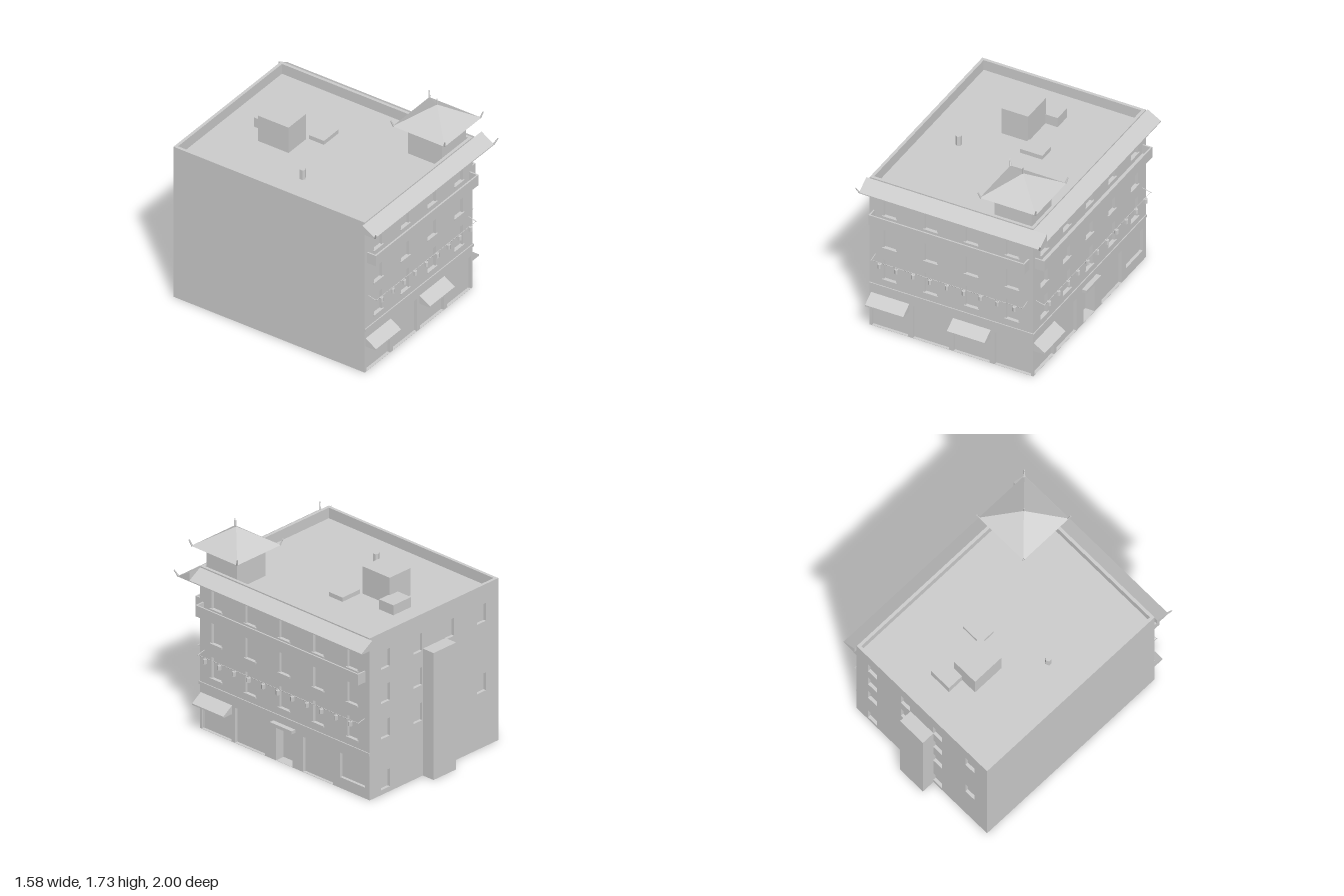
import * as THREE from 'three';

// Overall block: left, right, back, front, roof deck and parapet heights
const L = -0.742, R = 0.65, B = -0.89, F = 0.86, DECK = 1.265, TOP = 1.353;

export function createModel() {
  const model = new THREE.Group();
  model.name = 'cornerBuilding';
  const grey = new THREE.MeshStandardMaterial({ color: 0xcccccc, flatShading: true, side: THREE.DoubleSide });
  grey.name = 'plainGrey';

  const add = (parent, name, geo) => {
    const m = new THREE.Mesh(geo, grey);
    m.name = name;
    parent.add(m);
    return m;
  };

  // Box given by its limits on each axis
  const box = (parent, name, x0, x1, y0, y1, z0, z1) =>
    add(parent, name, new THREE.BoxGeometry(x1 - x0, y1 - y0, z1 - z0)
      .translate((x0 + x1) / 2, (y0 + y1) / 2, (z0 + z1) / 2));

  // Thin rod between two points
  const rod = (parent, name, a, b, r0, r1 = r0) => {
    const p = new THREE.Vector3(...a), q = new THREE.Vector3(...b);
    const dir = q.clone().sub(p);
    const m = add(parent, name, new THREE.CylinderGeometry(r1, r0, dir.length(), 6));
    m.position.copy(p).add(q).multiplyScalar(0.5);
    m.quaternion.setFromUnitVectors(new THREE.Vector3(0, 1, 0), dir.normalize());
    return m;
  };

  // Sloping wedge along a wall, profile in (distance out, height)
  const wedge = (parent, name, x0, x1, out, yTop, yLip, yBottom) => {
    const s = new THREE.Shape([[0, yBottom], [out, yBottom], [out, yLip], [0, yTop]]
      .map(p => new THREE.Vector2(...p)));
    const g = new THREE.ExtrudeGeometry(s, { depth: x1 - x0, bevelEnabled: false });
    return add(parent, name, g.rotateY(-Math.PI / 2).translate(x1, 0, 0));
  };

  const rectPath = (P, x0, x1, y0, y1) =>
    new P([[x0, y0], [x1, y0], [x1, y1], [x0, y1]].map(p => new THREE.Vector2(...p)));

  // A wall sheet with recessed openings; local z points outwards
  const facade = (name, x0, x1, pos, turn, openings) => {
    const g = new THREE.Group();
    g.name = name;
    g.position.set(...pos);
    g.rotation.y = turn;
    model.add(g);
    const shape = rectPath(THREE.Shape, x0, x1, 0, DECK);
    for (const o of openings) {
      shape.holes.push(rectPath(THREE.Path, o.x0, o.x1, o.y0, o.y1));
      const d = o.depth ?? 0.025;
      const recess = box(g, o.name, o.x0, o.x1, o.y0, o.y1, -d, 0);
      // drop the outer face so that the recess is open
      const idx = Array.from(recess.geometry.index.array);
      idx.splice(24, 6);
      recess.geometry.setIndex(idx);
      recess.geometry.clearGroups();
    }
    add(g, name + 'Sheet', new THREE.ShapeGeometry(shape));
    return g;
  };

  const opening = (name, x0, x1, y0, y1, depth) => ({ name, x0, x1, y0, y1, depth });
  const windowRows = [0.455, 0.745, 1.035];
  const windowGrid = cols => cols.flatMap(c => windowRows.map(y =>
    opening('window', c - 0.053, c + 0.053, y, y + 0.18)));
  const FLOOR = 0.002;

  // Street fronts share sills, ledge, balcony, eaves and lantern string
  const dressStreetFront = (g, o) => {
    for (const c of o.cols)
      for (const y of windowRows) box(g, 'sill', c - 0.063, c + 0.063, y - 0.008, y + 0.005, 0, 0.011);
    box(g, 'ledge', o.wall[0], o.wall[1], 0.37, 0.393, 0, 0.008);

    const [b0, b1] = o.balcony;
    box(g, 'balconyFloor', b0, b1, 0.972, 0.987, 0, 0.08);
    box(g, 'balconyRail', b0, b1, 0.987, 1.065, 0.068, 0.08);
    box(g, 'balconyEnd', b0, b0 + 0.012, 0.987, 1.065, 0, 0.068);
    box(g, 'balconyEnd', b1 - 0.012, b1, 0.987, 1.065, 0, 0.068);

    wedge(g, 'eave', o.eave[0], o.eave[1], 0.115, 1.342, 1.273, 1.265);

    const [w0, w1] = o.wire;
    for (const x of [w0, w1]) rod(g, 'wireBracket', [x, 0.667, 0], [x, 0.65, 0.075], 0.003);
    rod(g, 'lanternWire', [w0, 0.652, 0.07], [w1, 0.652, 0.07], 0.002);
    for (let i = 0; i < o.lanterns.count; i++) {
      const x = o.lanterns.from + i * o.lanterns.step;
      add(g, 'lantern', new THREE.CylinderGeometry(0.016, 0.016, 0.036, 6)).position.set(x, 0.622, 0.07);
      rod(g, 'lanternHook', [x, 0.638, 0.07], [x, 0.652, 0.07], 0.002);
    }
    for (const [a0, a1] of o.awnings) wedge(g, 'awning', a0, a1, 0.095, 0.303, 0.242, 0.23);
  };

  // Front wall with four shop bays
  const frontCols = [-0.57, -0.222, 0.125, 0.472];
  const front = facade('frontWall', L, R, [0, 0, F], 0, [
    ...windowGrid(frontCols),
    ...[-0.722, -0.375, -0.028, 0.322].map(x => opening('shopBay', x, x + 0.308, FLOOR, 0.294)),
  ]);
  dressStreetFront(front, {
    cols: frontCols, wall: [L, R + 0.008], balcony: [-0.71, 0.618], eave: [-0.77, 0.766],
    wire: [-0.692, 0.598], lanterns: { from: -0.62, step: 0.1435, count: 9 },
    awnings: [[-0.73, -0.405], [-0.033, 0.288]],
  });

  // Right wall; local x runs towards the back
  const rightCols = [-0.69, -0.34, 0.01, 0.36, 0.713];
  const right = facade('rightWall', -F, -B, [R, 0, 0], Math.PI / 2, [
    ...windowGrid(rightCols),
    opening('shopBay', -0.843, -0.535, FLOOR, 0.294),
    opening('shopBay', -0.5, -0.188, FLOOR, 0.294),
    opening('doorway', -0.075, 0.095, FLOOR, 0.275, 0.08),
    opening('shopBay', 0.203, 0.513, FLOOR, 0.294),
    opening('shopWindow', 0.585, 0.842, 0.09, 0.294),
  ]);
  dressStreetFront(right, {
    cols: rightCols, wall: [-F, -B], balcony: [-0.832, 0.845], eave: [-F, 0.915],
    wire: [-0.815, 0.838], lanterns: { from: -0.742, step: 0.15, count: 11 },
    awnings: [[-0.853, -0.53]],
  });
  box(right, 'doorCanopy', -0.104, 0.123, 0.3, 0.326, 0, 0.04);

  // Back wall; local x is mirrored
  const backWindow = (c, y) => opening('backWindow', -c - 0.048, -c + 0.048, y - 0.075, y + 0.075);
  const backRows = [[0.48, [0.115, 0.54, 0.835, 1.12]], [0.13, [0.54, 0.835, 1.12]],
    [-0.215, [0.115, 0.54, 0.835, 1.12]], [-0.56, [0.54, 1.12]]];
  facade('backWall', -R, -L, [0, 0, B], Math.PI,
    backRows.flatMap(([c, ys]) => ys.map(y => backWindow(c, y))));
  box(model, 'backShaft', -0.17, 0.075, 0, 1.06, -1, B);

  // Plain left wall
  facade('leftWall', B, F, [L, 0, 0], -Math.PI / 2, []);

  // Roof deck and parapet
  const deck = add(model, 'roofDeck', new THREE.PlaneGeometry(R - L, F - B).rotateX(-Math.PI / 2));
  deck.position.set((L + R) / 2, DECK, (B + F) / 2);
  const ring = rectPath(THREE.Shape, L, R, -F, -B);
  ring.holes.push(rectPath(THREE.Path, L + 0.025, R - 0.025, -F + 0.025, -B - 0.025));
  add(model, 'parapet', new THREE.ExtrudeGeometry(ring, { depth: TOP - DECK, bevelEnabled: false })
    .rotateX(-Math.PI / 2)).position.y = DECK;

  // Upturned tips on the front eave
  for (const s of [-1, 1])
    rod(model, 'eaveTip', [s * 0.765, 1.27, F + 0.112], [s * 0.787, 1.322, 0.997], 0.008, 0.005);

  // Rooftop equipment
  box(model, 'stairHouse', -0.208, 0.018, DECK, 1.493, -0.493, -0.215);
  box(model, 'airUnit', -0.07, 0.122, DECK, 1.348, -0.63, -0.483);
  box(model, 'roofHatch', 0.033, 0.222, DECK, 1.3, -0.2, -0.062);
  add(model, 'ventPipe', new THREE.CylinderGeometry(0.025, 0.025, 0.085, 6))
    .position.set(-0.42, DECK + 0.0425, 0.065);

  // Corner pavilion with pyramid roof
  const tower = new THREE.Group();
  tower.name = 'pavilion';
  tower.position.set(0.46, 0, 0.67);
  model.add(tower);
  box(tower, 'pavilionBody', -0.156, 0.156, DECK, 1.525, -0.156, 0.156);
  const half = 0.238;
  add(tower, 'pavilionRoof', new THREE.ConeGeometry(half * Math.SQRT2, 0.158, 4).rotateY(Math.PI / 4))
    .position.y = 1.601;
  rod(tower, 'finial', [0, 1.67, 0], [0, 1.733, 0], 0.005);
  for (const sx of [-1, 1])
    for (const sz of [-1, 1])
      rod(tower, 'roofTip', [sx * 0.232, 1.522, sz * 0.232], [sx * 0.248, 1.575, sz * 0.248], 0.008, 0.005);

  return model;
}
